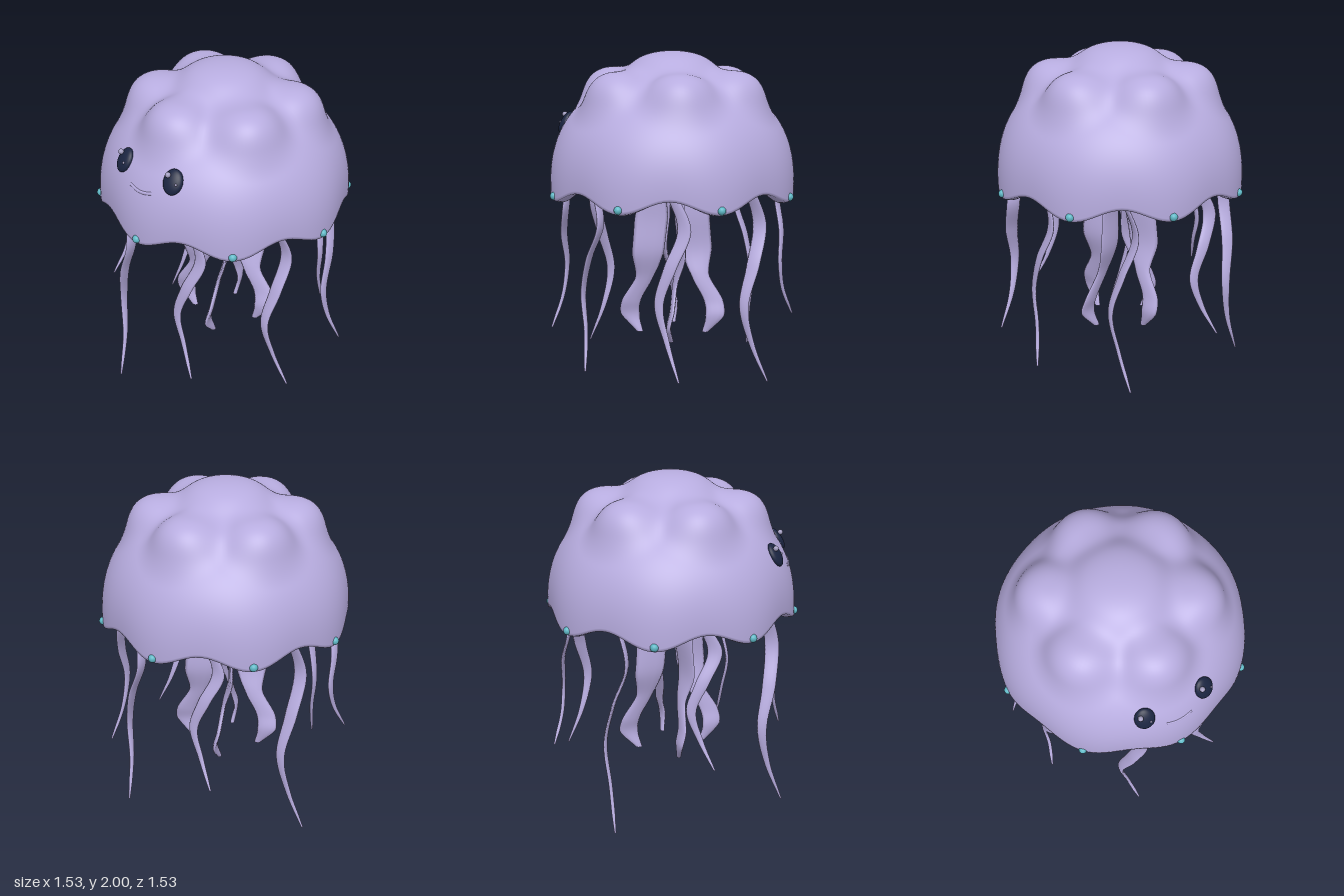
import * as THREE from 'three';

const mat = (name, color) => Object.assign(new THREE.MeshStandardMaterial({ color }), { name });

// Closed-around surface: rows run downward, columns run around the axis
function ringSurface(rows, cols, point) {
  const pos = [], index = [];
  for (let i = 0; i <= rows; i++)
    for (let j = 0; j < cols; j++) pos.push(...point(i / rows, (j / cols) * Math.PI * 2));
  for (let i = 0; i < rows; i++)
    for (let j = 0; j < cols; j++) {
      const k = (j + 1) % cols, a = i * cols + j, b = i * cols + k;
      index.push(a, b, a + cols, b, b + cols, a + cols);
    }
  const g = new THREE.BufferGeometry();
  g.setAttribute('position', new THREE.Float32BufferAttribute(pos, 3));
  g.setIndex(index);
  g.computeVertexNormals();
  return g;
}

// Flattened, tapering strand through points, with a width at each point and a twist along it
function strand(points, widths, thickness, facing, twist = 0) {
  const curve = new THREE.CatmullRomCurve3(points.map(p => new THREE.Vector3(...p)));
  const n = points.length - 1;
  return ringSurface(48, 10, (u, a) => {
    const p = curve.getPoint(u), i = Math.min(n - 1, Math.floor(u * n));
    const c = Math.cos(facing + twist * u), s = Math.sin(facing + twist * u);
    const w = THREE.MathUtils.lerp(widths[i], widths[i + 1], u * n - i) / 2;
    const x = Math.cos(a) * w, z = Math.sin(a) * Math.min(thickness / 2, w);
    return [p.x + c * x - s * z, p.y, p.z + s * x + c * z];
  });
}

// Bell volume: a full dome blended with a crown bump and six round lobes
const BASE = 1.17;
const lobes = Array.from({ length: 6 }, (_, i) => {
  const a = Math.PI / 2 + (i * Math.PI) / 3;
  return [0.378 * Math.cos(a), 1.708, 0.378 * Math.sin(a)];
});
const blend = (a, b, k) => {
  const h = Math.max(k - Math.abs(a - b), 0) / k;
  return Math.min(a, b) - (h * h * k) / 4;
};
const dome = (r, y, a, b, p) => Math.pow(Math.pow(r / a, p) + Math.pow(Math.abs(y) / b, p), 1 / p) - 1;
function field(x, y, z) {
  const r = Math.hypot(x, z);
  let d = 0.7 * dome(r, y - BASE, 0.745, 0.68, 2.4);
  for (const [lx, ly, lz] of lobes)
    d = blend(d, 0.19 * dome(Math.hypot(x - lx, z - lz), y - ly, 0.195, 0.185, 2.3), 0.1);
  return blend(d, 0.18 * dome(r, y - 1.85, 0.272, 0.148, 2.15), 0.08);
}
// Point where a ray from inside leaves the bell
function exit(o, d) {
  let lo = 0, hi = 1.3;
  for (let i = 0; i < 24; i++) {
    const m = (lo + hi) / 2;
    if (field(o[0] + d[0] * m, o[1] + d[1] * m, o[2] + d[2] * m) < 0) lo = m; else hi = m;
  }
  return o.map((v, i) => v + d[i] * lo);
}
const onFace = (x, y) => new THREE.Vector3(...exit([x, y, 0], [0, 0, 1]));
function normalAt(p) {
  const e = 0.005, f = (x, y, z) => field(p.x + x, p.y + y, p.z + z);
  return new THREE.Vector3(f(e, 0, 0) - f(-e, 0, 0), f(0, e, 0) - f(0, -e, 0), f(0, 0, e) - f(0, 0, -e)).normalize();
}

export function createModel() {
  const lavender = mat('lavender', 0xb7acdf), navy = mat('navy', 0x1a2440);
  const teal = mat('teal', 0x5fb8c6), glint = mat('dull glint', 0xa29dc0);
  const model = new THREE.Group();
  model.name = 'jellyfish';
  const add = (parent, name, geometry, material) => {
    const m = new THREE.Mesh(geometry, material);
    m.name = name;
    parent.add(m);
    return m;
  };

  // Bell: outer skin, thick lip hanging at the scallop points, then the hollow underside
  const rimY = a => 1.19 - 0.04 * Math.cos(8 * a);
  const pinch = a => 1 - 0.01 * (1 - Math.cos(8 * a));
  const outer = (t, a) => {
    const th = t * (Math.PI / 2 - (rimY(a) - BASE) / 0.74);
    const p = exit([0, BASE, 0], [Math.sin(th) * Math.cos(a), Math.cos(th), Math.sin(th) * Math.sin(a)]);
    const k = 1 + (pinch(a) - 1) * t ** 4;
    return [p[0] * k, p[1], p[2] * k];
  };
  const SPLIT = 0.68;
  add(model, 'bell', ringSurface(100, 144, (u, a) => {
    if (u <= SPLIT + 1e-6) return outer(Math.min(1, u / SPLIT), a);
    const s = Math.sin((1 - (u - SPLIT) / (1 - SPLIT)) * Math.PI / 2);
    const r = 0.725 * s * pinch(a);
    const lip = 0.015 * (1 + Math.cos(8 * a)) * Math.exp(-(((s - 0.93) / 0.06) ** 2));
    const y = 1.193 + (rimY(a) - 1.193) * s * s + 0.36 * (1 - s * s) ** 1.5 - lip;
    return [r * Math.cos(a), y, r * Math.sin(a)];
  }), lavender);

  // Beads on the scallop points
  for (let i = 0; i < 8; i++) {
    const a = (i * Math.PI) / 4;
    add(model, 'rimBead', new THREE.SphereGeometry(0.024, 16, 12), teal)
      .position.set(0.742 * Math.cos(a), 1.175, 0.742 * Math.sin(a));
  }

  // Glowing core under the bell
  add(model, 'core', new THREE.SphereGeometry(0.11, 28, 20), teal).position.y = 1.265;

  // Eight long tentacles, each with its own length, alternating in facing
  const tips = [0.2, 0.3, 0.04, 0.42, 0, 0.37, 0.12, 0.2];
  const sway = [0, -7, 0, 5.5, 1.5, -3.8], reach = [0.62, 0.645, 0.665, 0.66, 0.68, 0.747];
  tips.forEach((tip, i) => {
    const base = 22.5 + 45 * i;
    const pts = sway.map((s, j) => {
      const a = THREE.MathUtils.degToRad(base + s);
      return [reach[j] * Math.cos(a), 1.27 + (tip - 1.27) * (j / 5), reach[j] * Math.sin(a)];
    });
    add(model, 'tentacle', strand(pts, [0.065, 0.085, 0.08, 0.058, 0.036, 0.012], 0.022,
      THREE.MathUtils.degToRad(base - (i % 2 ? 67.5 : 22.5))), lavender);
  });

  // Four broad wavy arms around the core, each flat in a plane through the axis
  const armPath = [[0.04, 1.4, 0.04], [0.085, 1.2, 0.085], [0.09, 1, 0.1], [0.11, 0.78, 0.115],
    [0.085, 0.62, 0.15], [0.1, 0.46, 0.235], [0.085, 0.37, 0.25], [0.075, 0.26, 0.19]];
  for (let i = 0; i < 4; i++) {
    add(model, 'oralArm', strand(armPath, [0.05, 0.15, 0.21, 0.2, 0.11, 0.12, 0.12, 0.04], 0.028,
      Math.PI / 4, 0.4), lavender).rotation.y = (i * Math.PI) / 2;
  }

  // Eyes lying on the bell surface, with glints
  for (const side of [-1, 1]) {
    const eye = new THREE.Group();
    eye.name = side > 0 ? 'leftEye' : 'rightEye';
    const p = onFace(side * 0.185, 1.565);
    eye.position.copy(p);
    eye.lookAt(p.clone().add(normalAt(p)));
    add(eye, 'eyeball', new THREE.SphereGeometry(1, 28, 20), navy).scale.set(0.058, 0.073, 0.028);
    add(eye, 'glint', new THREE.SphereGeometry(0.016, 14, 10), glint).position.set(-0.025, 0.032, 0.032);
    add(eye, 'smallGlint', new THREE.SphereGeometry(0.007, 10, 8), glint).position.set(0.03, -0.012, 0.024);
    model.add(eye);
  }

  // Soft raised smile
  const smile = [-0.08, -0.04, 0, 0.04, 0.08].map(x => {
    const p = onFace(x, 1.466 + 2 * x * x);
    return p.addScaledVector(normalAt(p), -0.008);
  });
  add(model, 'smile', new THREE.TubeGeometry(new THREE.CatmullRomCurve3(smile), 24, 0.012, 10), lavender);

  return model;
}
